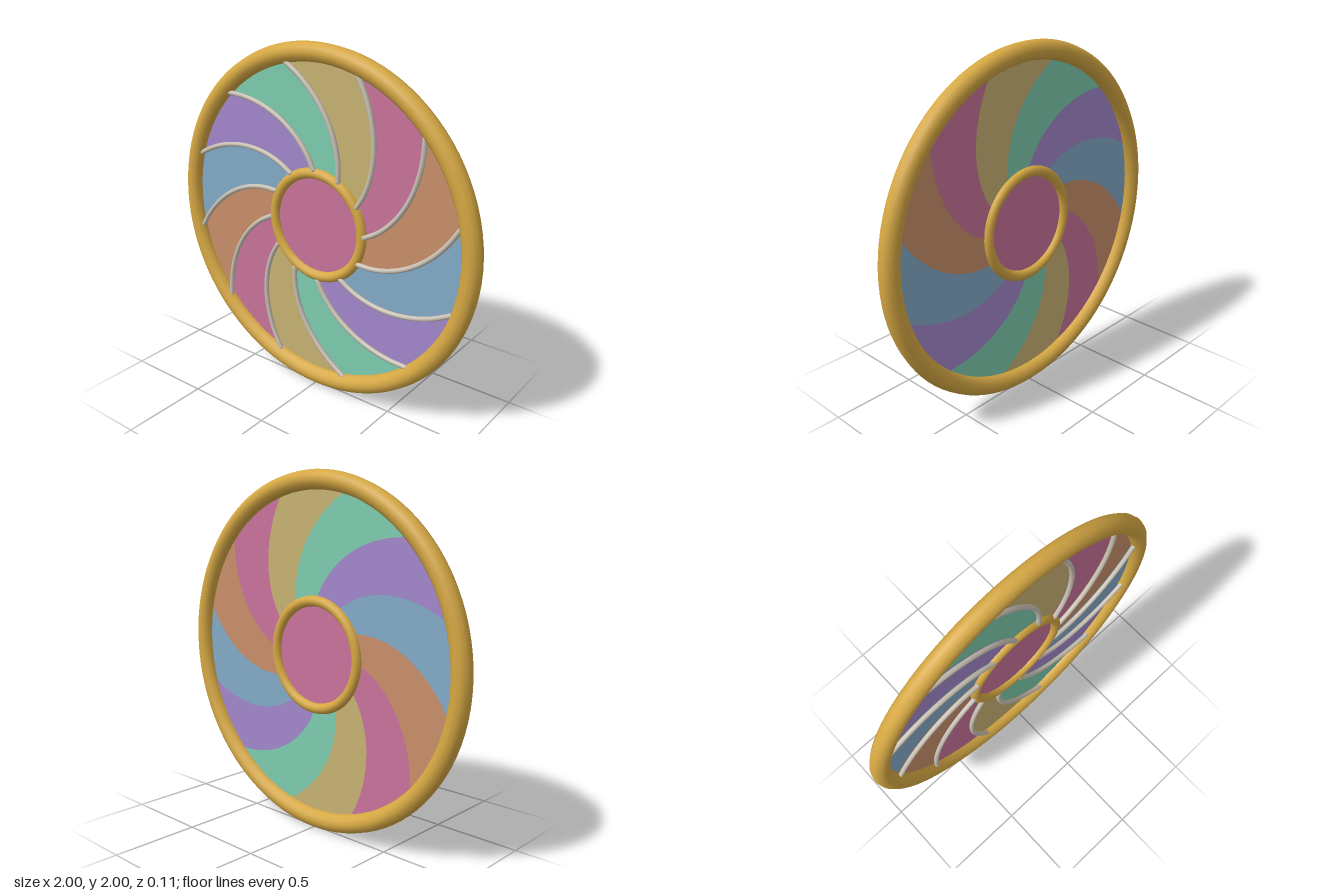
import * as THREE from 'three';

const mat = (name, color, side = THREE.FrontSide) => {
  const m = new THREE.MeshStandardMaterial({ color, side });
  m.name = name;
  return m;
};

const COUNT = 12, STEP = (Math.PI * 2) / COUNT;
const R0 = 0.3, R1 = 0.93;

// Point on the swirl line that starts at angle `start` on the hub
const swirl = (r, start) => {
  const a = start + THREE.MathUtils.degToRad(3 + 39 * (r - 0.33) / 0.56);
  return new THREE.Vector2(Math.cos(a) * r, Math.sin(a) * r);
};

// Curved pane between two neighbouring swirl lines
function paneGeometry(start) {
  const n = 24, m = 8, pts = [];
  const rAt = (i) => R0 + (R1 - R0) * i / n;
  for (let i = 0; i <= n; i++) pts.push(swirl(rAt(i), start));
  for (let j = 1; j < m; j++) pts.push(swirl(R1, start + STEP * j / m));
  for (let i = n; i >= 0; i--) pts.push(swirl(rAt(i), start + STEP));
  for (let j = m - 1; j > 0; j--) pts.push(swirl(R0, start + STEP * j / m));
  return new THREE.ShapeGeometry(new THREE.Shape(pts));
}

export function createModel() {
  const root = new THREE.Group();
  root.name = 'swirlWheel';
  const wheel = new THREE.Group();
  wheel.name = 'wheel';
  wheel.position.y = 1;
  root.add(wheel);

  const gold = mat('gold', 0xd6a843);
  const silver = mat('paleMetal', 0xc9c1b4);
  const panes = [
    mat('pink', 0xc9739b, THREE.DoubleSide),
    mat('sand', 0xc8b273, THREE.DoubleSide),
    mat('mint', 0x7ecbb0, THREE.DoubleSide),
    mat('lilac', 0xa388cb, THREE.DoubleSide),
    mat('blue', 0x82aac8, THREE.DoubleSide),
    mat('orange', 0xc98f69, THREE.DoubleSide),
  ];

  const add = (name, geometry, material, parent = wheel) => {
    const mesh = new THREE.Mesh(geometry, material);
    mesh.name = name;
    parent.add(mesh);
    return mesh;
  };

  // Rims and centre
  add('outerRim', new THREE.TorusGeometry(0.947, 0.053, 12, 96), gold);
  add('hubRing', new THREE.TorusGeometry(0.3, 0.03, 12, 64), gold);
  add('hubPane', new THREE.CircleGeometry(R0, 64), panes[0]);

  // Panes and the raised strips along their seams on the front
  const capGeometry = new THREE.SphereGeometry(0.014, 8, 6);
  for (let k = 0; k < COUNT; k++) {
    const start = k * STEP;
    add('pane', paneGeometry(start), panes[k % panes.length]);

    const strip = new THREE.Group();
    strip.name = 'seamStrip';
    wheel.add(strip);
    const pts = [];
    for (let i = 0; i <= 8; i++) {
      const p = swirl(0.325 + 0.575 * i / 8, start);
      pts.push(new THREE.Vector3(p.x, p.y, 0.017));
    }
    const curve = new THREE.CatmullRomCurve3(pts);
    add('stripTube', new THREE.TubeGeometry(curve, 32, 0.014, 8), silver, strip);
    for (const end of [pts[0], pts[8]]) {
      add('stripEnd', capGeometry, silver, strip).position.copy(end);
    }
  }
  return root;
}
